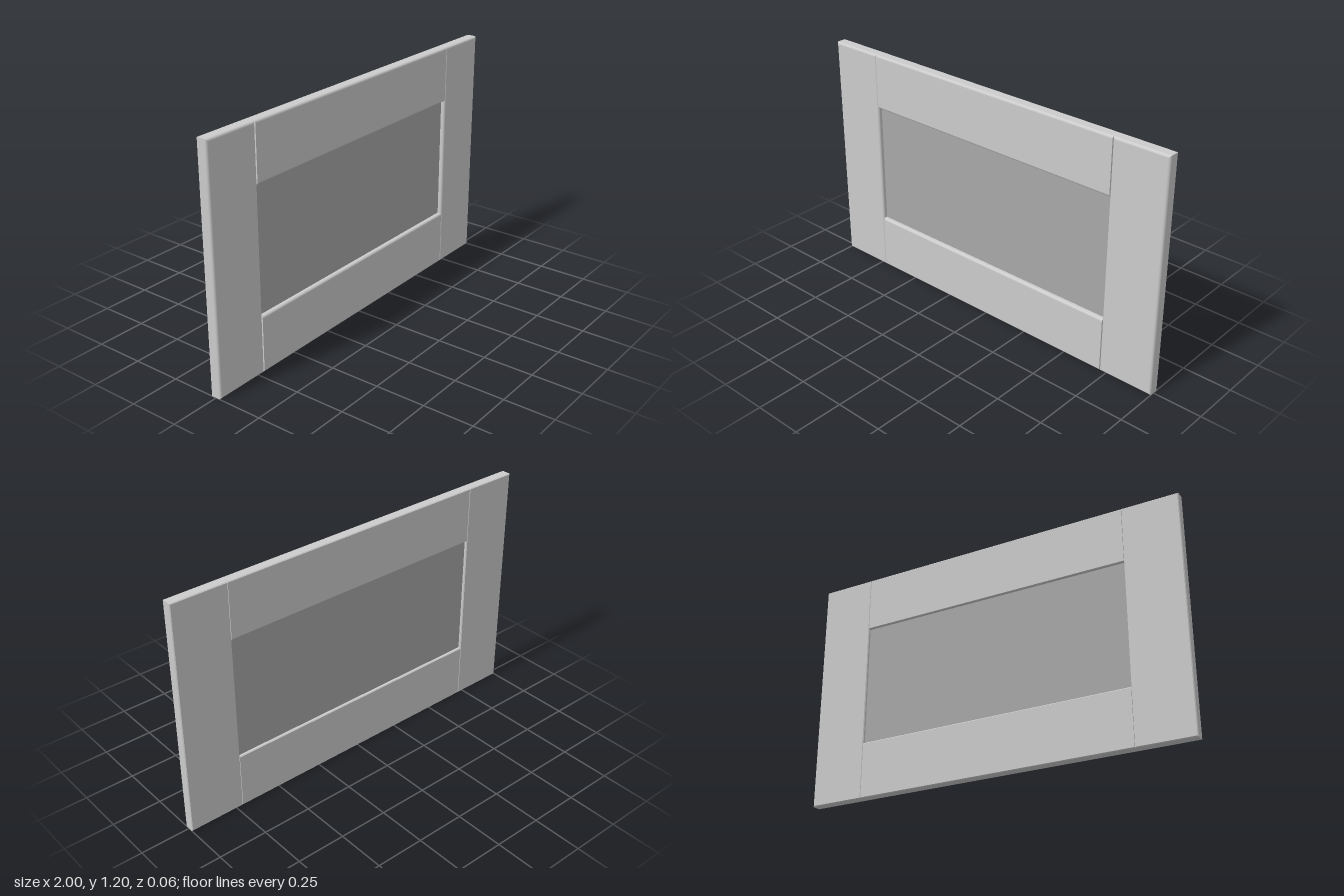
import * as THREE from 'three';

const HALF = 0.028;    // half the frame thickness
const ROUND = 0.012;   // radius of the front edges
const CHAMFER = 0.004; // small bevel on the back edges
const BOARD = 0.285;   // width of stiles and rails
const HEIGHT = 1.2;

// Board edge profile from back to front: bands of [z, inset, normal angle].
function edgeBands() {
  const arc = [];
  for (let i = 0; i <= 6; i++) {
    const a = (i / 6) * Math.PI / 2;
    arc.push([HALF - ROUND + ROUND * Math.sin(a), ROUND * (1 - Math.cos(a)), a]);
  }
  const bands = [
    [[-HALF, CHAMFER, -Math.PI / 4], [-HALF + CHAMFER, 0, -Math.PI / 4]],
    [[-HALF + CHAMFER, 0, 0], arc[0]],
  ];
  for (let i = 0; i < 6; i++) bands.push([arc[i], arc[i + 1]]);
  return bands;
}

// Board with a rounded front and bevelled back; squareEnds leaves the x ends flat.
function boardGeometry(w, h, squareEnds) {
  const pos = [], nor = [], idx = [];
  const quad = (points, normals) => {
    const n = pos.length / 3;
    points.forEach((p) => pos.push(...p));
    normals.forEach((p) => nor.push(...p));
    idx.push(n, n + 1, n + 2, n, n + 2, n + 3);
  };
  const corners = [[1, -1], [1, 1], [-1, 1], [-1, -1]];
  const at = ([sx, sy], z, inset) =>
    [sx * (w / 2 - (squareEnds ? 0 : inset)), sy * (h / 2 - inset), z];

  // Four sides, band by band
  for (let s = 0; s < 4; s++) {
    const c0 = corners[s], c1 = corners[(s + 1) % 4];
    const nx = (c0[0] + c1[0]) / 2, ny = (c0[1] + c1[1]) / 2;
    const flat = squareEnds && nx !== 0;
    for (const [[z0, i0, a0], [z1, i1, a1]] of edgeBands()) {
      const normal = (a) => flat ? [nx, 0, 0]
        : [nx * Math.cos(a), ny * Math.cos(a), Math.sin(a)];
      quad([at(c0, z0, i0), at(c1, z0, i0), at(c1, z1, i1), at(c0, z1, i1)],
        [normal(a0), normal(a0), normal(a1), normal(a1)]);
    }
  }
  // Front and back faces
  quad(corners.map((c) => at(c, HALF, ROUND)), Array(4).fill([0, 0, 1]));
  quad([...corners].reverse().map((c) => at(c, -HALF, CHAMFER)), Array(4).fill([0, 0, -1]));

  const g = new THREE.BufferGeometry();
  g.setAttribute('position', new THREE.Float32BufferAttribute(pos, 3));
  g.setAttribute('normal', new THREE.Float32BufferAttribute(nor, 3));
  g.setIndex(idx);
  return g;
}

export function createModel() {
  const group = new THREE.Group();
  group.name = 'panelDoor';
  const frameMat = new THREE.MeshStandardMaterial({ color: 0xcccccc });
  const panelMat = new THREE.MeshStandardMaterial({ color: 0xa8a8a8 });

  const add = (name, geometry, material, x, y, z = 0) => {
    const mesh = new THREE.Mesh(geometry, material);
    mesh.name = name;
    mesh.position.set(x, y, z);
    group.add(mesh);
  };

  // Upright stiles at both sides
  const stile = boardGeometry(BOARD, HEIGHT, false);
  add('leftStile', stile, frameMat, 1 - BOARD / 2, HEIGHT / 2);
  add('rightStile', stile, frameMat, -1 + BOARD / 2, HEIGHT / 2);

  // Rails between the stiles
  const innerW = 2 - 2 * BOARD, innerH = HEIGHT - 2 * BOARD;
  const rail = boardGeometry(innerW, BOARD, true);
  add('topRail', rail, frameMat, 0, HEIGHT - BOARD / 2);
  add('bottomRail', rail, frameMat, 0, BOARD / 2);

  // Recessed panel, let slightly into the frame
  add('centrePanel', new THREE.BoxGeometry(innerW + 0.03, innerH + 0.03, 0.02),
    panelMat, 0, HEIGHT / 2, -0.004);

  return group;
}
